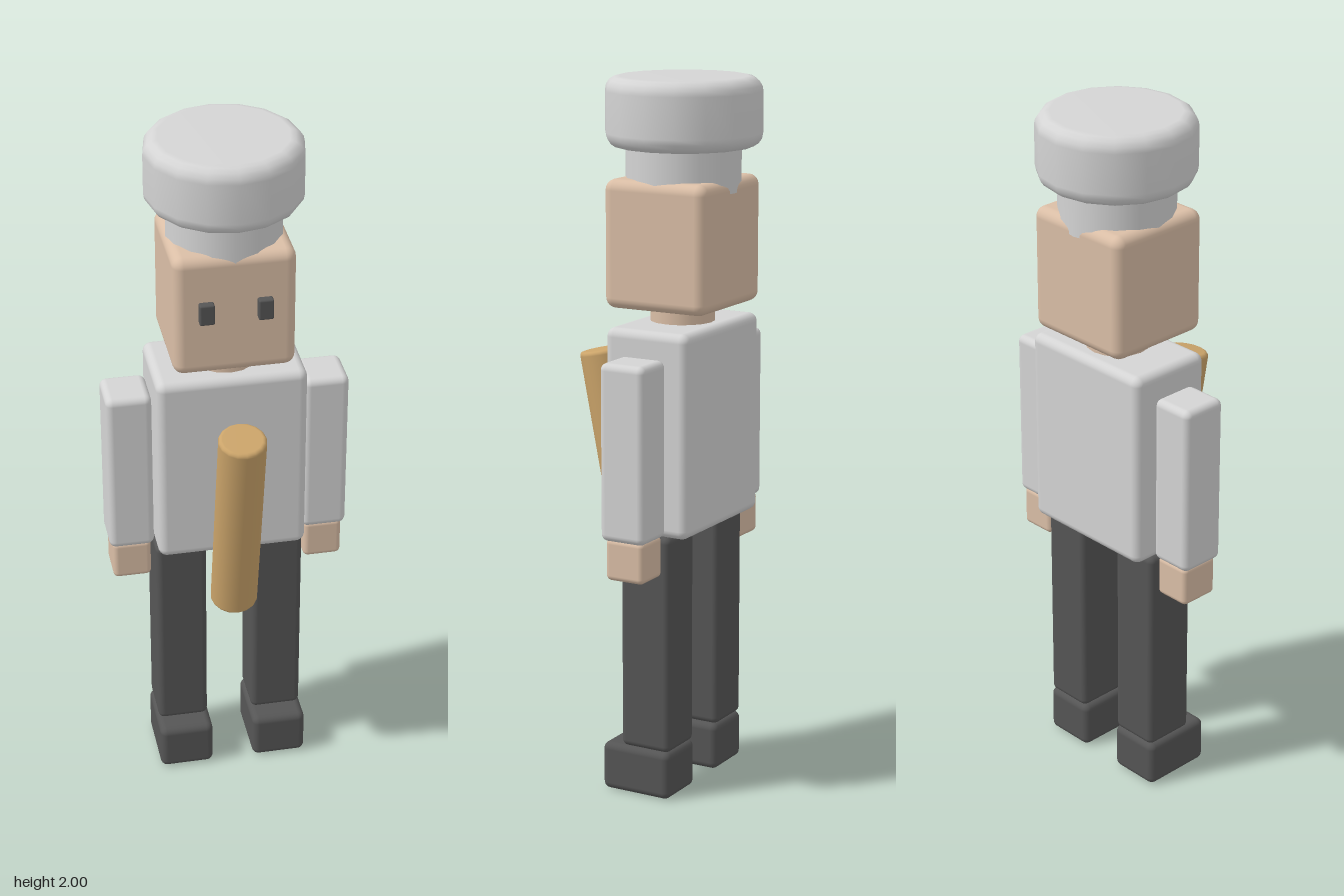
import * as THREE from 'three';
import { RoundedBoxGeometry } from 'three/addons/geometries/RoundedBoxGeometry.js';

const material = (name, color) => {
  const m = new THREE.MeshStandardMaterial({ color });
  m.name = name;
  return m;
};

export function createModel() {
  const white = material('white cloth', 0xd4d4d4);
  const skin = material('skin', 0xdabea6);
  const dark = material('dark grey', 0x555555);
  const wood = material('wood', 0xcba46a);

  const model = new THREE.Group();
  model.name = 'cook';

  const add = (name, geometry, mat, x, y, z) => {
    const mesh = new THREE.Mesh(geometry, mat);
    mesh.name = name;
    mesh.position.set(x, y, z);
    model.add(mesh);
    return mesh;
  };

  // Rounded block given by its limits on each axis
  const block = (name, mat, [x0, x1], [y0, y1], [z0, z1], bevel) =>
    add(name, new RoundedBoxGeometry(x1 - x0, y1 - y0, z1 - z0, 3, bevel), mat,
      (x0 + x1) / 2, (y0 + y1) / 2, (z0 + z1) / 2);

  // Upright 16-sided cylinder with rounded rims, centred on its middle
  const roundedCylinder = (radius, height, bevel) => {
    const points = [new THREE.Vector2(0, -height / 2)];
    for (const side of [-1, 1]) {
      for (let i = 0; i <= 4; i++) {
        const a = (side < 0 ? i - 4 : i) * Math.PI / 8;
        points.push(new THREE.Vector2(
          radius - bevel + bevel * Math.cos(a),
          side * (height / 2 - bevel) + bevel * Math.sin(a)));
      }
    }
    points.push(new THREE.Vector2(0, height / 2));
    return new THREE.LatheGeometry(points, 16);
  };

  // Head, neck and torso
  block('head', skin, [-0.167, 0.167], [1.373, 1.727], [-0.21, 0.105], 0.03);
  add('neck', new THREE.CylinderGeometry(0.09, 0.09, 0.09, 16), skin, 0, 1.352, -0.053);
  block('torso', white, [-0.21, 0.21], [0.76, 1.33], [-0.183, 0.073], 0.025);

  // Hat: band and puffed crown
  add('hatBand', new THREE.CylinderGeometry(0.159, 0.159, 0.14, 16), white, 0, 1.76, -0.055);
  add('hatCrown', roundedCylinder(0.216, 0.192, 0.04), white, 0, 1.904, -0.056);

  // Paired parts, mirrored across x
  for (const [side, s] of [['left', 1], ['right', -1]]) {
    const span = (a, b) => (s > 0 ? [a, b] : [-b, -a]);
    block(side + 'Eye', dark, span(0.059, 0.1), [1.537, 1.597], [0.09, 0.126], 0.005);
    block(side + 'Arm', white, span(0.213, 0.341), [0.768, 1.26], [-0.125, 0.013], 0.02);
    block(side + 'Hand', skin, span(0.222, 0.331), [0.657, 0.775], [-0.117, 0.001], 0.015);
    block(side + 'Leg', dark, span(0.066, 0.212), [0.14, 0.762], [-0.13, 0.025], 0.018);
    block(side + 'Shoe', dark, span(0.06, 0.217), [0.003, 0.141], [-0.13, 0.084], 0.02);
  }

  // Rolling pin leaning out from the belly
  const pin = add('rollingPin', roundedCylinder(0.067, 0.63, 0.012), wood, 0, 0.914, 0.145);
  pin.rotation.x = 0.195;

  return model;
}
